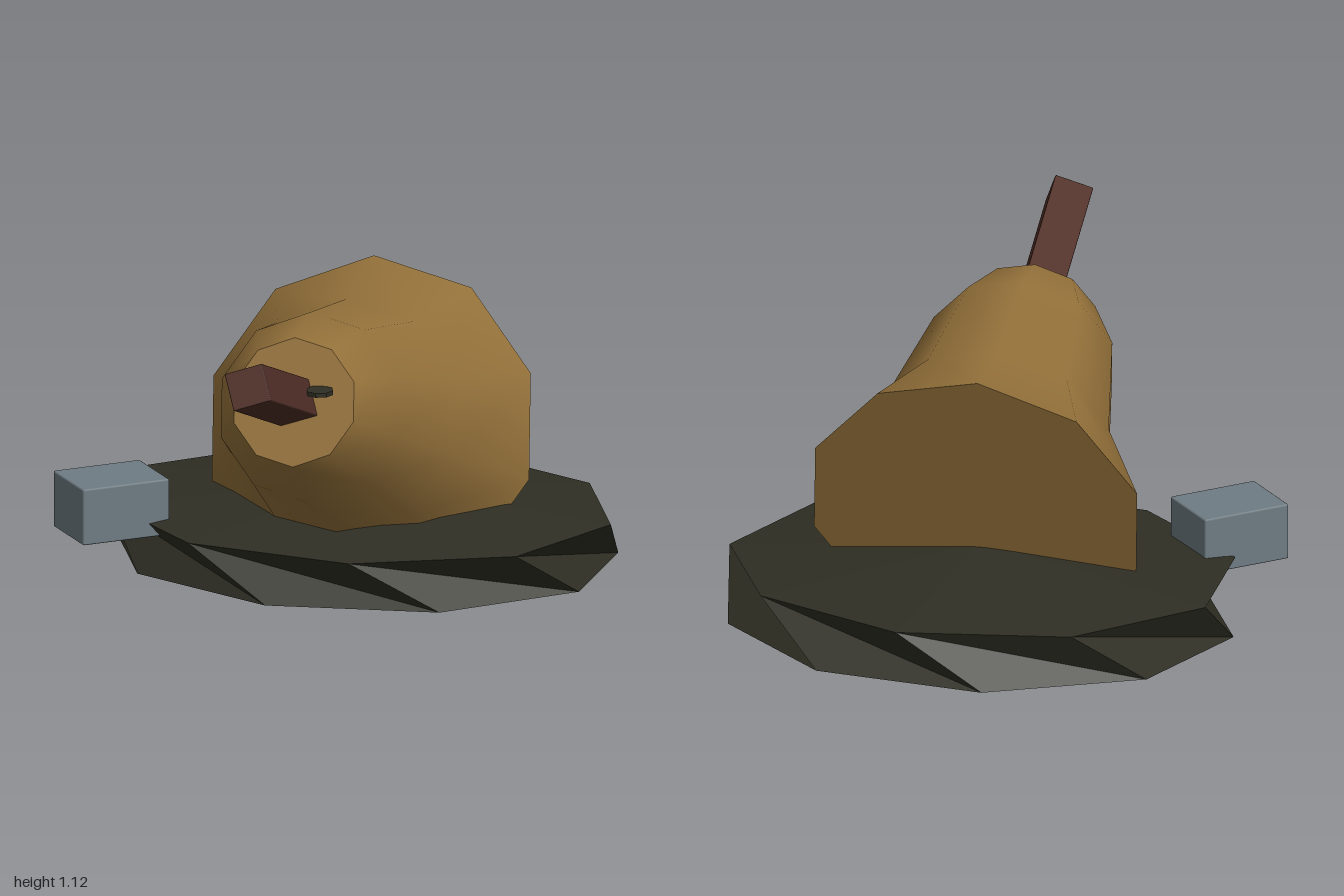
import * as THREE from 'three';
import { RoundedBoxGeometry } from 'three/addons/geometries/RoundedBoxGeometry.js';

const deg = THREE.MathUtils.degToRad;

function material(name, color, options = {}) {
  const m = new THREE.MeshStandardMaterial({ color, ...options });
  m.name = name;
  return m;
}

// Low-poly elliptical slab: two nine-sided rings twisted against each other,
// joined by inward-folding side faces and closed by shallow cones.
function twistedSlab(sides, rx, rz, yBottom, yTop, coneHeight, shift) {
  const step = (Math.PI * 2) / sides;
  const ring = (y, offset, dz) => (k) => {
    const a = k * step + offset;
    return [rx * Math.cos(a), y, -rz * Math.sin(a) + dz];
  };
  const top = ring(yTop, 0, shift);
  const bottom = ring(yBottom, step / 2, -shift);
  const topTip = [0, yTop + coneHeight, 0];
  const bottomTip = [0, yBottom - coneHeight, 0];
  const points = [];
  for (let k = 0; k < sides; k++) {
    points.push(topTip, top(k), top(k + 1));
    points.push(bottomTip, bottom(k + 1), bottom(k));
    points.push(top(k), bottom(k + 1), top(k + 1));
    points.push(top(k), bottom(k), bottom(k + 1));
  }
  const g = new THREE.BufferGeometry();
  g.setAttribute('position', new THREE.Float32BufferAttribute(points.flat(), 3));
  g.computeVertexNormals();
  return g;
}

export function createModel() {
  const brass = material('brass', 0x94713a);
  const wood = material('dark wood', 0x502f27);
  const stone = material('grey stone', 0x6f7c83);
  const moss = material('dark olive', 0x2e2e24, { flatShading: true });

  const model = new THREE.Group();
  model.name = 'bellOnSlab';
  const add = (parent, name, geometry, mat, x = 0, y = 0, z = 0) => {
    const mesh = new THREE.Mesh(geometry, mat);
    mesh.name = name;
    mesh.position.set(x, y, z);
    parent.add(mesh);
    return mesh;
  };

  // Slab under the bell
  add(model, 'slab', twistedSlab(9, 0.82, 0.655, 0.12, 0.29, 0.08, 0.015), moss, 0.043, 0, -0.345);

  // Tilted bell; the group's origin is the centre of the crown, its y axis the bell axis
  const bell = new THREE.Group();
  bell.name = 'bell';
  bell.position.set(0.0425, 0.85, 0.445);
  bell.rotation.x = deg(69);
  model.add(bell);

  const lathe = (points) =>
    new THREE.LatheGeometry(points.map(([r, y]) => new THREE.Vector2(r, y)), 10, deg(5));
  add(bell, 'bellMouth', lathe([[0, -0.943], [0.547, -0.943]]), brass);
  add(bell, 'bellBody', lathe([[0.547, -0.943], [0.38, -0.61], [0.303, -0.187], [0.206, 0]]), brass);
  add(bell, 'bellCrown', lathe([[0.206, 0], [0, 0]]), brass);

  // Square handle, rolled about the bell axis
  const handle = add(bell, 'handle', new RoundedBoxGeometry(0.127, 0.66, 0.122, 1, 0.004), wood, 0, 0.234, 0);
  handle.rotation.y = deg(20);

  // Small flat peg beside the handle
  add(model, 'peg', new THREE.CylinderGeometry(0.045, 0.045, 0.014, 8), moss, 0.132, 0.898, 0.464);

  // Loose block at the edge of the slab
  const block = add(model, 'block', new RoundedBoxGeometry(0.3, 0.185, 0.237, 1, 0.006), stone, -0.68, 0.337, 0.028);
  block.rotation.y = deg(40);

  return model;
}
